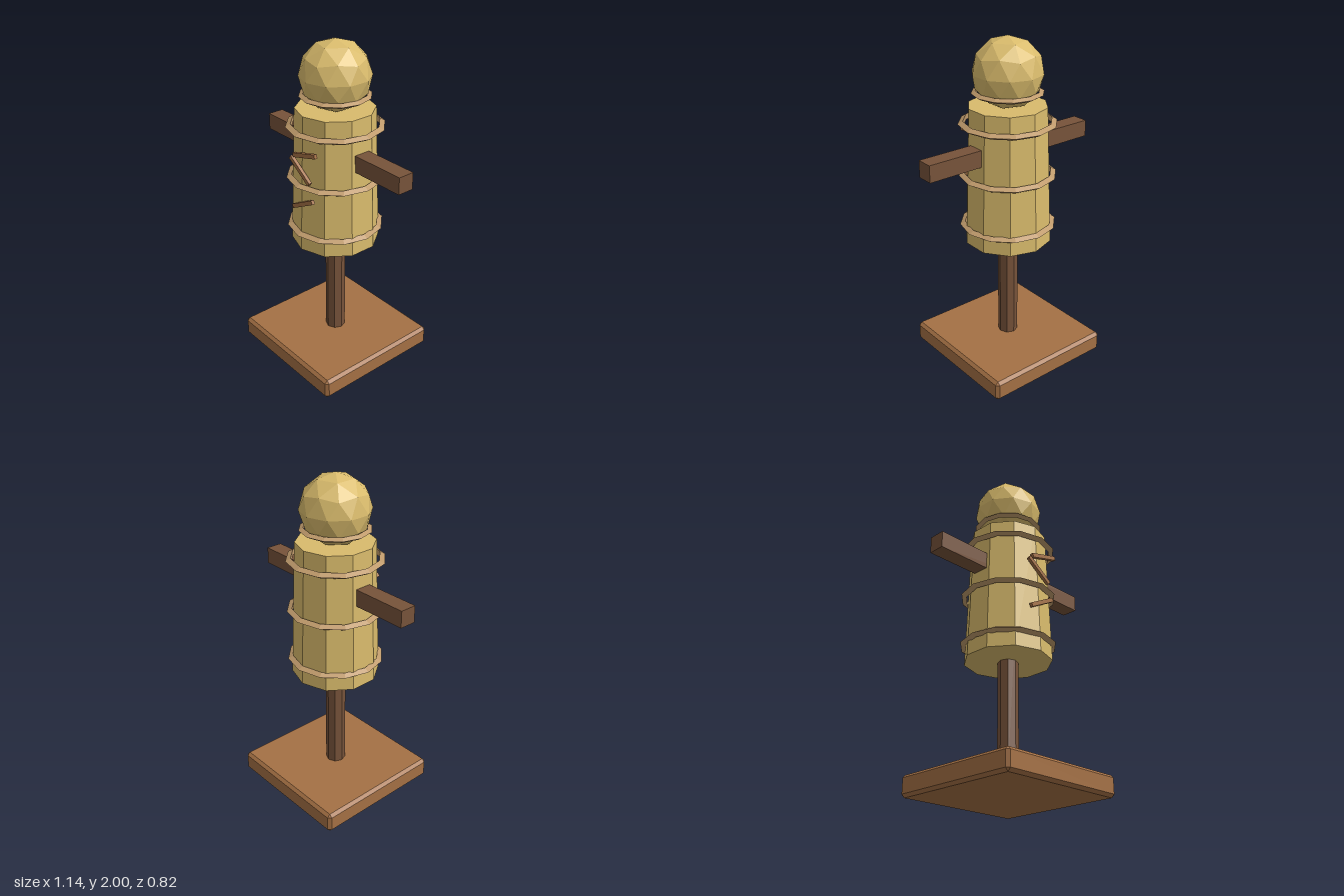
import * as THREE from 'three';
import { ConvexGeometry } from 'three/addons/geometries/ConvexGeometry.js';

const material = (name, color) => {
  const m = new THREE.MeshStandardMaterial({ color });
  m.name = name;
  return m;
};

// Faceted normals for the low-poly look
function faceted(geometry) {
  const g = geometry.index ? geometry.toNonIndexed() : geometry;
  g.computeVertexNormals();
  return g;
}

// Box with flat chamfers on every edge
function chamferedBox(w, h, d, c) {
  const half = [w / 2, h / 2, d / 2];
  const points = [];
  for (const sx of [-1, 1]) for (const sy of [-1, 1]) for (const sz of [-1, 1])
    for (let full = 0; full < 3; full++) {
      const p = [sx, sy, sz].map((s, i) => s * (half[i] - (i === full ? 0 : c)));
      points.push(new THREE.Vector3(...p));
    }
  return new ConvexGeometry(points);
}

export function createModel() {
  const model = new THREE.Group();
  model.name = 'trainingDummy';

  const straw = material('straw', 0xd9bb6c);
  const rope = material('rope', 0xbf9a6b);
  const wood = material('wood', 0xa47044);
  const darkWood = material('darkWood', 0x77533a);

  const add = (name, geometry, mat, x, y, z) => {
    const mesh = new THREE.Mesh(faceted(geometry), mat);
    mesh.name = name;
    mesh.position.set(x, y, z);
    model.add(mesh);
    return mesh;
  };

  // Stand
  add('base', chamferedBox(0.825, 0.125, 0.825, 0.018), wood, 0, 0.0625, 0);
  add('post', new THREE.CylinderGeometry(0.06, 0.06, 0.88, 8), darkWood, 0, 0.56, 0);

  // Straw body and crossbar
  add('body', new THREE.CylinderGeometry(0.23, 0.26, 0.825, 10), straw, 0, 1.1975, 0);
  add('crossbar', new THREE.BoxGeometry(1.14, 0.1, 0.1), darkWood, 0, 1.355, 0);

  // Head, turned so one corner points straight up
  const head = new THREE.IcosahedronGeometry(0.205, 1);
  head.rotateZ(-Math.atan(2 / (1 + Math.sqrt(5))));
  add('head', head, straw, 0, 1.795, 0);

  // Rope bindings with a triangular section
  const ropes = [
    ['lowerRope', 0.885, 0.265, 0.02],
    ['middleRope', 1.197, 0.265, 0.02],
    ['upperRope', 1.508, 0.265, 0.02],
    ['neckRope', 1.683, 0.19, 0.017],
  ];
  for (const [name, y, radius, tube] of ropes) {
    const ring = new THREE.TorusGeometry(radius, tube, 3, 12);
    ring.rotateX(Math.PI / 2);
    add(name, ring, rope, 0, y, 0);
  }

  // Slash marks on the chest
  const slashes = [
    [0.041, 1.403, 16],
    [0, 1.297, -35],
    [0.02, 1.093, 28],
  ];
  slashes.forEach(([x, y, degrees], i) => {
    const slash = add('slash' + (i + 1), new THREE.BoxGeometry(0.2, 0.025, 0.02), wood, x, y, 0.254);
    slash.rotation.z = THREE.MathUtils.degToRad(degrees);
  });

  return model;
}
